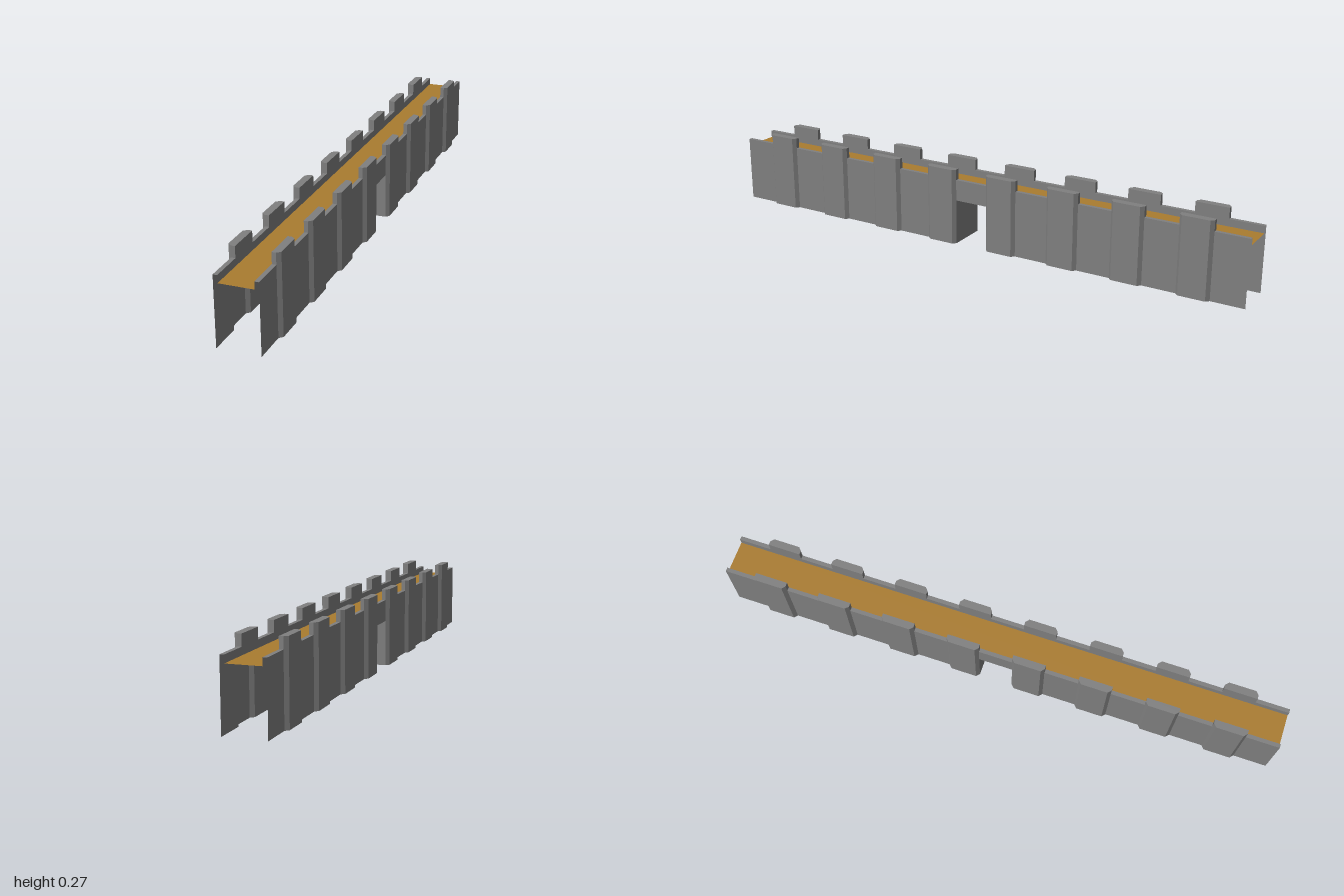
import * as THREE from 'three';

const IN = 0.057, WALL = 0.071, OUT = 0.083;      // parapet inner face, wall face, merlon face
const FLOOR = 0.21, ARCH = 0.16, PARAPET = 0.235, TOP = 0.273;
const GAP = 0.06, HALF = 0.058, CHAMFER = 0.011;  // gate half width, merlon half length
const CENTRES = [0.825, 0.59, 0.354, 0.118, -0.118, -0.354, -0.59, -0.825];

// Upright quad from plan point a to b ([x, z]), facing right of travel seen from below
const panel = (a, b, y0, y1) => [
  [a[0], y0, a[1]], [b[0], y0, b[1]], [b[0], y1, b[1]], [a[0], y1, a[1]],
];

// Upward-facing strip between two x positions, front z then back z
const cap = (y, x0, x1, zf, zb, inset = 0) => [
  [x0, y, zf], [x1, y, zf - inset], [x1, y, zb + inset], [x0, y, zb],
];

function quadMesh(name, quads, material) {
  const pos = [];
  for (const [a, b, c, d] of quads) pos.push(...a, ...b, ...c, ...a, ...c, ...d);
  const geo = new THREE.BufferGeometry();
  geo.setAttribute('position', new THREE.Float32BufferAttribute(pos, 3));
  geo.computeVertexNormals();
  const mesh = new THREE.Mesh(geo, material);
  mesh.name = name;
  return mesh;
}

// One long side of the rampart: curtain wall, parapet ledge and merlons
function createSide(name, stone) {
  const side = new THREE.Group();
  side.name = name;
  const curtain = [], ledge = [];
  const merlons = [];
  let z = 1;
  const plainRun = (zEnd) => {
    const overGate = Math.abs(z + zEnd) < 0.01;
    curtain.push(panel([WALL, z], [WALL, zEnd], overGate ? ARCH : 0, PARAPET));
    ledge.push(cap(PARAPET, IN, WALL, z, zEnd));
  };
  for (const c of CENTRES) {
    const zf = c + HALF, zb = c - HALF;
    plainRun(zf);
    const p = [[WALL, zf], [OUT, zf - CHAMFER], [OUT, zb + CHAMFER], [WALL, zb]];
    merlons.push(quadMesh('merlon', [
      panel(p[0], p[1], 0, TOP), panel(p[1], p[2], 0, TOP), panel(p[2], p[3], 0, TOP),
      panel([IN, zf], [WALL, zf], PARAPET, TOP),
      panel([WALL, zb], [IN, zb], PARAPET, TOP),
      panel([IN, zb], [IN, zf], PARAPET, TOP),
      cap(TOP, IN, WALL, zf, zb),
      cap(TOP, WALL, OUT, zf, zb, CHAMFER),
    ], stone));
    z = zb;
  }
  plainRun(-1);
  ledge.push(panel([IN, -1], [IN, 1], FLOOR, PARAPET));
  side.add(quadMesh('curtainWall', curtain, stone), quadMesh('parapet', ledge, stone), ...merlons);
  return side;
}

export function createModel() {
  const stone = new THREE.MeshStandardMaterial({ color: 0x808080, side: THREE.DoubleSide });
  stone.name = 'grey stone';
  const wood = new THREE.MeshStandardMaterial({ color: 0xaa7c30, side: THREE.DoubleSide });
  wood.name = 'brown planks';

  const model = new THREE.Group();
  model.name = 'rampart';

  // Both long sides; the plan is the same after a half turn
  const left = createSide('leftSide', stone);
  const right = createSide('rightSide', stone);
  right.rotation.y = Math.PI;
  model.add(left, right);

  // Walkway between the parapets
  model.add(quadMesh('walkway', [cap(FLOOR, -IN, IN, 1, -1)], wood));

  // Gate passage: two cross walls and the ceiling
  model.add(quadMesh('gatePassage', [
    panel([WALL, GAP], [-WALL, GAP], 0, ARCH),
    panel([-WALL, -GAP], [WALL, -GAP], 0, ARCH),
    cap(ARCH, -WALL, WALL, GAP, -GAP).reverse(),
  ], stone));

  return model;
}
